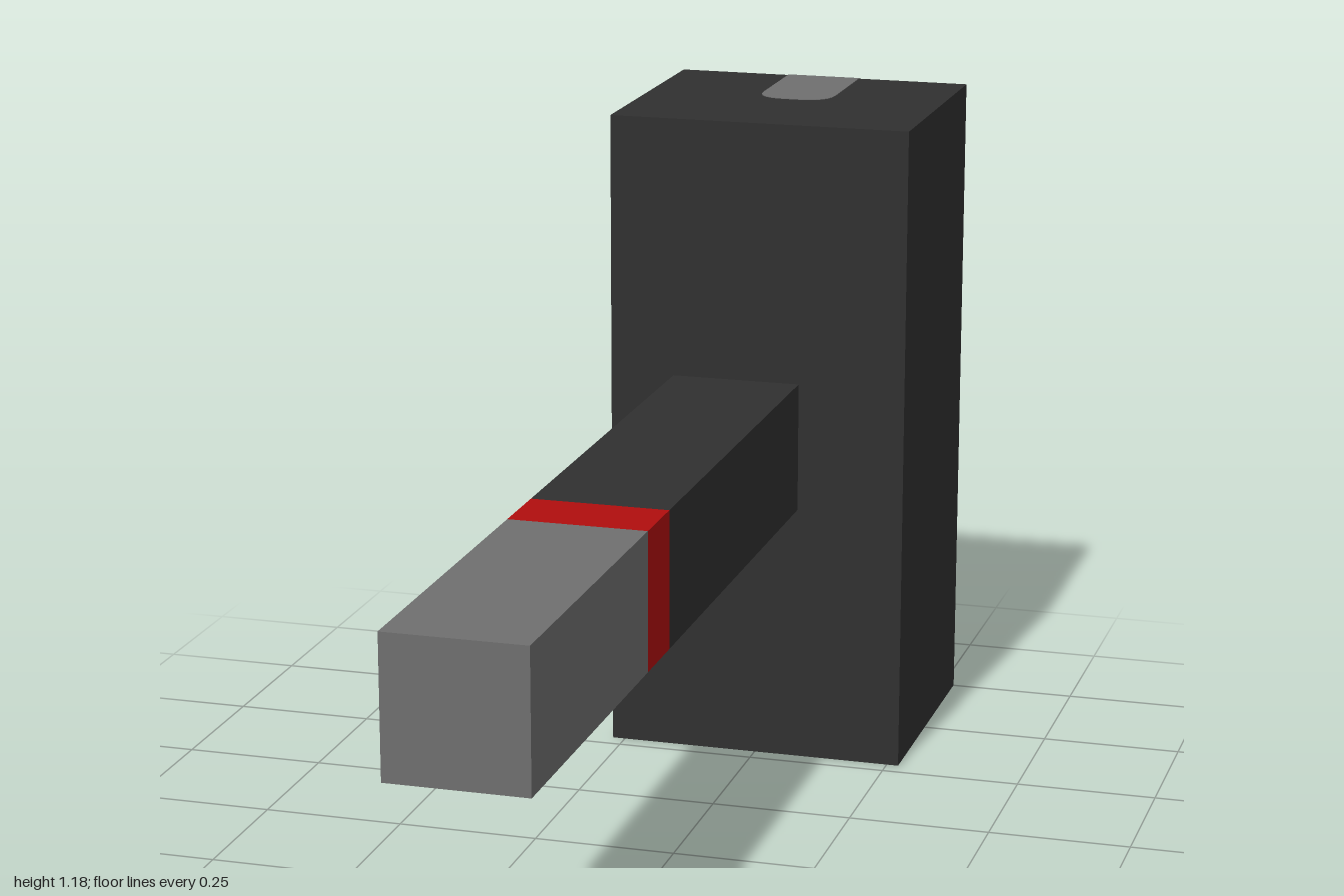
import * as THREE from 'three';

const mat = (name, color) => new THREE.MeshStandardMaterial({ name, color });

export function createModel() {
  const model = new THREE.Group();
  const dark = mat('charcoal', 0x303030);
  const grey = mat('grey', 0x6f6f6f);
  const red = mat('red', 0xb00e0e);
  const green = mat('green', 0x0dc82c);

  const add = (name, geometry, material) => {
    const mesh = new THREE.Mesh(geometry, material);
    mesh.name = name;
    model.add(mesh);
    return mesh;
  };

  // Box given by its minimum and maximum corners
  const box = (name, material, [x0, y0, z0], [x1, y1, z1]) =>
    add(name, new THREE.BoxGeometry(x1 - x0, y1 - y0, z1 - z0), material)
      .position.set((x0 + x1) / 2, (y0 + y1) / 2, (z0 + z1) / 2);

  // Thin plate from y = 0 to y = length, with rounded corners at each end
  const T = 0.003;
  const strip = (length, rStart, rEnd, w = 0.068) => {
    const s = new THREE.Shape();
    s.moveTo(-w + rStart, 0);
    s.lineTo(w - rStart, 0);
    s.quadraticCurveTo(w, 0, w, rStart);
    s.lineTo(w, length - rEnd);
    s.quadraticCurveTo(w, length, w - rEnd, length);
    s.lineTo(-w + rEnd, length);
    s.quadraticCurveTo(-w, length, -w, length - rEnd);
    s.lineTo(-w, rStart);
    s.quadraticCurveTo(-w, 0, -w + rStart, 0);
    return new THREE.ExtrudeGeometry(s, { depth: T, bevelEnabled: false, curveSegments: 6 });
  };

  // Upright head block
  const H = 1.176;
  box('head', dark, [-0.272, 0.001, -0.999], [0.272, H - 0.001, -0.53]);

  // Arm in three sections
  const arm = [
    ['armShaft', dark, -0.53, 0.29],
    ['armBand', red, 0.29, 0.41],
    ['armGrip', grey, 0.41, 1],
  ];
  for (const [name, material, z0, z1] of arm)
    box(name, material, [-0.155, 0.472, z0], [0.078, 0.706, z1]);

  // Strip wrapping over the top, back and bottom of the head
  for (const [name, y] of [['topStrip', H], ['bottomStrip', T]])
    add(name, strip(0.236, 0, 0.055).rotateX(Math.PI / 2), grey).position.set(0, y, -1);
  add('lowerBackStrip', strip(0.23, 0, 0.015), grey).position.set(0, 0, -1);
  add('upperBackStrip', strip(0.236, 0, 0.015).rotateZ(Math.PI), grey).position.set(0, H, -1);

  // Glowing panel between the back strips
  add('backPanel', strip(0.71, 0.02, 0.02, 0.07), green).position.set(0, 0.23, -1);

  return model;
}
